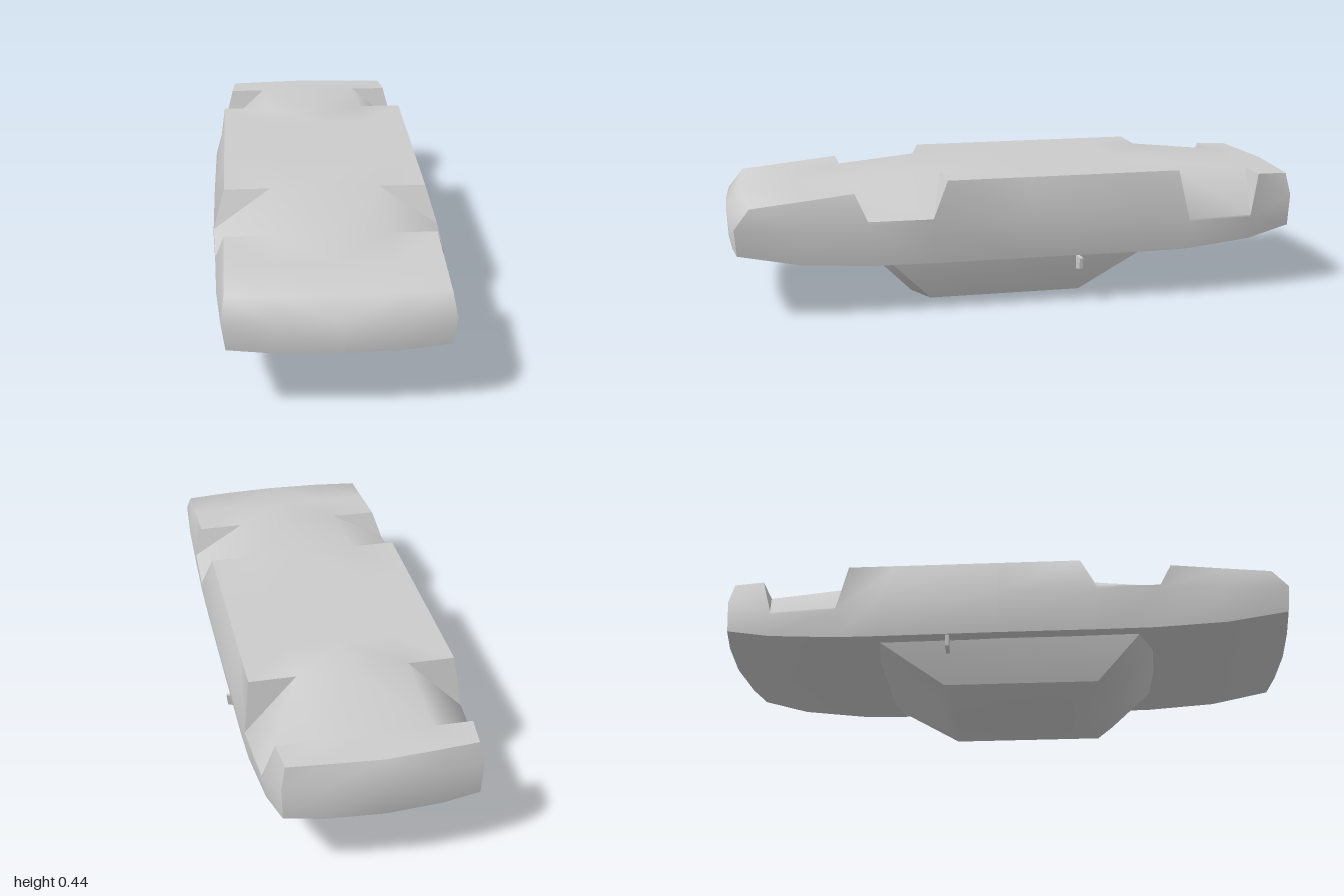
import * as THREE from 'three';
import { toCreasedNormals } from 'three/addons/utils/BufferGeometryUtils.js';

// Skins a grid of [x,y,z] rows on the +x half, and its mirror image, into tris
function skin(rows, tris) {
  const tri = (a, b, c) => {
    const [A, B, C] = [a, b, c].map((p) => new THREE.Vector3(...p));
    if (B.clone().sub(A).cross(C.clone().sub(A)).length() < 1e-7) return;
    tris.push(...a, ...b, ...c);
    const m = (p) => [-p[0], p[1], p[2]];
    tris.push(...m(a), ...m(c), ...m(b));
  };
  for (let i = 0; i < rows.length - 1; i++) {
    for (let j = 0; j < rows[i].length - 1; j++) {
      const a = rows[i][j], b = rows[i][j + 1], c = rows[i + 1][j + 1], d = rows[i + 1][j];
      tri(a, b, c);
      tri(a, c, d);
    }
  }
}

function creased(tris, angle) {
  const g = new THREE.BufferGeometry();
  g.setAttribute('position', new THREE.Float32BufferAttribute(tris, 3));
  return toCreasedNormals(g, angle);
}

const INNER = 0.185; // inner edge of the wheel wells

// Half cross-section of the body: top centre, round the side, to bottom centre
const section = (top, out, wide, low, keel, bow = 0) => [
  [0, top[0], top[1] + bow * 0.4], [INNER, top[0], top[1]],
  out, wide, low,
  [INNER, keel, low[2] + bow * 0.6], [0, keel, low[2] + bow],
];

function bodyGeometry() {
  // Wheel wells: inner edge stays on the top, outer edge drops to the side
  const f1 = [[0.37, 0.31, 0.55], [0.355, 0.172, 0.53], 0.17];
  const f2 = [[0.378, 0.31, 0.335], [0.356, 0.17, 0.335], 0.168];
  const r1 = [[0.362, 0.268, -0.56], [0.352, 0.17, -0.56], 0.163];
  const r2 = [[0.347, 0.268, -0.79], [0.335, 0.19, -0.79], 0.185];
  const rows = [
    section([0.383, 0.942], [0.34, 0.38, 0.93], [0.35, 0.315, 0.982], [0.338, 0.225, 0.975], 0.215, 0.02),
    section([0.398, 0.77], [0.34, 0.396, 0.77], [0.365, 0.31, 0.77], [0.35, 0.187, 0.77], 0.18),
    section([0.415, 0.59], [0.34, 0.415, 0.59], ...f1),
    section([0.415, 0.59], [0.369, 0.325, 0.55], ...f1),
    section([0.445, 0.28], [0.377, 0.325, 0.335], ...f2),
    section([0.445, 0.28], [0.34, 0.445, 0.28], ...f2),
    section([0.445, 0], [0.34, 0.445, 0], [0.378, 0.31, 0], [0.356, 0.17, 0], 0.165),
    section([0.445, -0.35], [0.34, 0.445, -0.35], [0.374, 0.31, -0.4], [0.355, 0.168, -0.43], 0.156),
    section([0.445, -0.525], [0.34, 0.445, -0.525], ...r1),
    section([0.445, -0.525], [0.362, 0.276, -0.56], ...r1),
    section([0.413, -0.83], [0.347, 0.276, -0.79], ...r2),
    section([0.413, -0.83], [0.31, 0.413, -0.83], ...r2),
    section([0.41, -0.945], [0.3, 0.41, -0.935], [0.315, 0.335, -0.95], [0.31, 0.225, -0.945], 0.22, -0.035),
  ];
  const tris = [];
  skin(rows, tris);
  // Bowed end faces
  const f = rows[0], b = rows[rows.length - 1];
  const frontMid = [[0, 0.315, 1], [INNER, 0.315, 0.995], f[3]];
  const backMid = [[0, 0.34, -1], [INNER, 0.34, -0.972], b[3]];
  skin([[f[6], f[5], f[4]], frontMid, f.slice(0, 3)], tris);
  skin([b.slice(0, 3), backMid, [b[6], b[5], b[4]]], tris);
  return creased(tris, 0.95);
}

function cabinGeometry() {
  // Rings from the roof (lowest) up to the belt line
  const ring = (x, y, zf, zb, turn) => [
    [0, y, zf], [x * 0.6, y, zf - turn * 0.15], [x, y, zf - turn],
    [x, y, (zf + zb) / 2], [x, y, zb + turn * 0.5], [x * 0.6, y, zb], [0, y, zb],
  ];
  const roof = ring(0.15, 0, 0.24, -0.19, 0.03);
  const spine = roof.map(([, y, z]) => [0, y, z]);
  const tris = [];
  skin([
    spine, roof,
    ring(0.26, 0.022, 0.39, -0.222, 0.06),
    ring(0.31, 0.165, 0.53, -0.44, 0.06),
    ring(0.314, 0.19, 0.54, -0.47, 0.06),
  ], tris);
  return creased(tris, 0.95);
}

function mirrorGeometry() {
  const s = new THREE.Shape([
    [0.316, 0.16], [0.32, 0.112], [0.363, 0.122], [0.367, 0.16],
  ].map(([x, y]) => new THREE.Vector2(x, y)));
  return new THREE.ExtrudeGeometry(s, { depth: 0.012, bevelEnabled: false });
}

export function createModel() {
  const group = new THREE.Group();
  group.name = 'overturnedCarBody';
  const paint = new THREE.MeshStandardMaterial({ color: 0xcccccc });
  paint.name = 'greyPaint';
  const add = (name, geometry) => {
    const mesh = new THREE.Mesh(geometry, paint);
    mesh.name = name;
    group.add(mesh);
    return mesh;
  };
  add('body', bodyGeometry());
  add('cabin', cabinGeometry());
  // Side mirrors; the right one is the left one turned half round
  add('leftMirror', mirrorGeometry()).position.z = -0.18;
  const right = add('rightMirror', mirrorGeometry());
  right.rotation.y = Math.PI;
  right.position.z = -0.168;
  return group;
}
